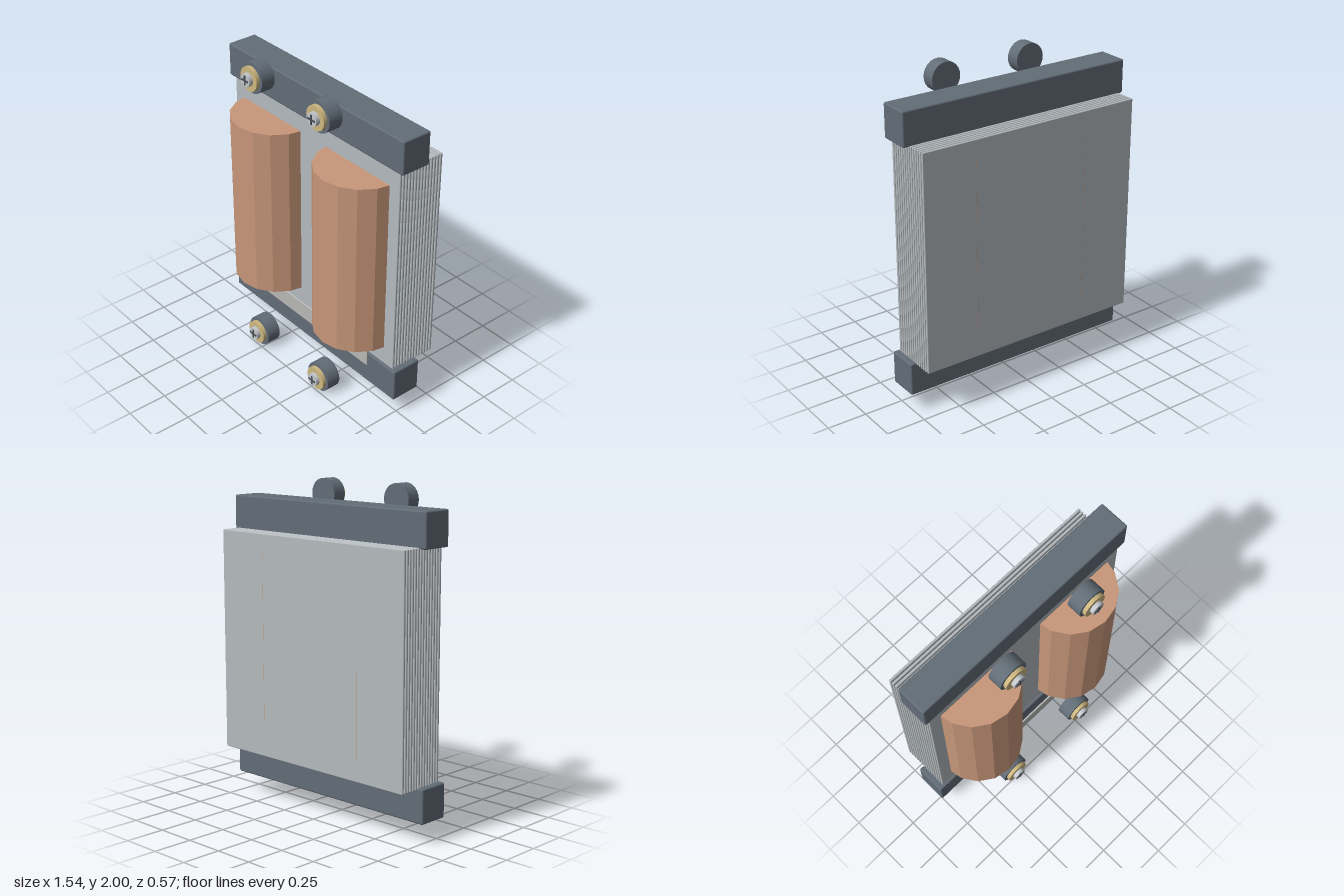
import * as THREE from 'three';
import { RoundedBoxGeometry } from 'three/addons/geometries/RoundedBoxGeometry.js';

const paint = (color, flatShading = false) => new THREE.MeshStandardMaterial({ color, flatShading });

export function createModel() {
  const model = new THREE.Group();
  model.name = 'transformer';

  const steel = paint(0x626d77);
  const sheet = paint(0xb4babe);
  const copper = paint(0xc8977a, true);
  const brass = paint(0xcdb780);
  const zinc = paint(0xc4c8cc);
  const dark = paint(0x4a5058);
  const label = paint(0xb8b8b6);

  function add(name, geometry, material, x, y, z, parent = model) {
    const mesh = new THREE.Mesh(geometry, material);
    mesh.name = name;
    mesh.position.set(x, y, z);
    parent.add(mesh);
    return mesh;
  }

  // Cylinder lying along z, from z0 to z1
  function disc(name, radius, z0, z1, material, parent) {
    const geometry = new THREE.CylinderGeometry(radius, radius, z1 - z0, 24).rotateX(Math.PI / 2);
    return add(name, geometry, material, 0, 0, (z0 + z1) / 2, parent);
  }

  // Stack of thin core sheets with gaps between them
  const sheetGeometry = new RoundedBoxGeometry(1.47, 1.37, 0.016, 2, 0.006);
  const core = new THREE.Group();
  core.name = 'laminatedCore';
  model.add(core);
  for (let i = 0; i < 14; i++) {
    add('coreSheet', sheetGeometry, sheet, 0, 1.005, -0.277 + i * 0.0228, core);
  }

  // Clamp bars across the bottom and top
  const clampGeometry = new RoundedBoxGeometry(1.54, 0.21, 0.195, 2, 0.01);
  add('lowerClamp', clampGeometry, steel, 0, 0.225, -0.053);
  add('upperClamp', clampGeometry, steel, 0, 1.785, -0.053);

  // Two faceted copper windings
  const coilGeometry = new THREE.CylinderGeometry(0.28, 0.28, 1.12, 16);
  coilGeometry.scale(0.985, 1, 1);
  for (const side of [-1, 1]) {
    add(side < 0 ? 'rightCoil' : 'leftCoil', coilGeometry, copper, side * 0.384, 1.005, -0.0052);
  }

  // Blank rating plate in front of the lower clamp
  add('ratingPlate', new RoundedBoxGeometry(1.2, 0.115, 0.012, 2, 0.005), label, 0, 0.373, 0.107);

  // Four terminals: insulator, washer and screw with a cross slot
  for (const x of [-0.295, 0.295]) {
    for (const y of [0.095, 1.905]) {
      const terminal = new THREE.Group();
      terminal.name = 'terminal';
      terminal.position.set(x, y, 0);
      model.add(terminal);
      disc('insulator', 0.095, 0.142, 0.232, steel, terminal);
      disc('washer', 0.075, 0.232, 0.255, brass, terminal);
      disc('screwHead', 0.041, 0.255, 0.28, zinc, terminal);
      add('slotAcross', new THREE.BoxGeometry(0.06, 0.01, 0.008), dark, 0, 0, 0.281, terminal);
      add('slotUpright', new THREE.BoxGeometry(0.01, 0.06, 0.0078), dark, 0, 0, 0.281, terminal);
    }
  }

  return model;
}
